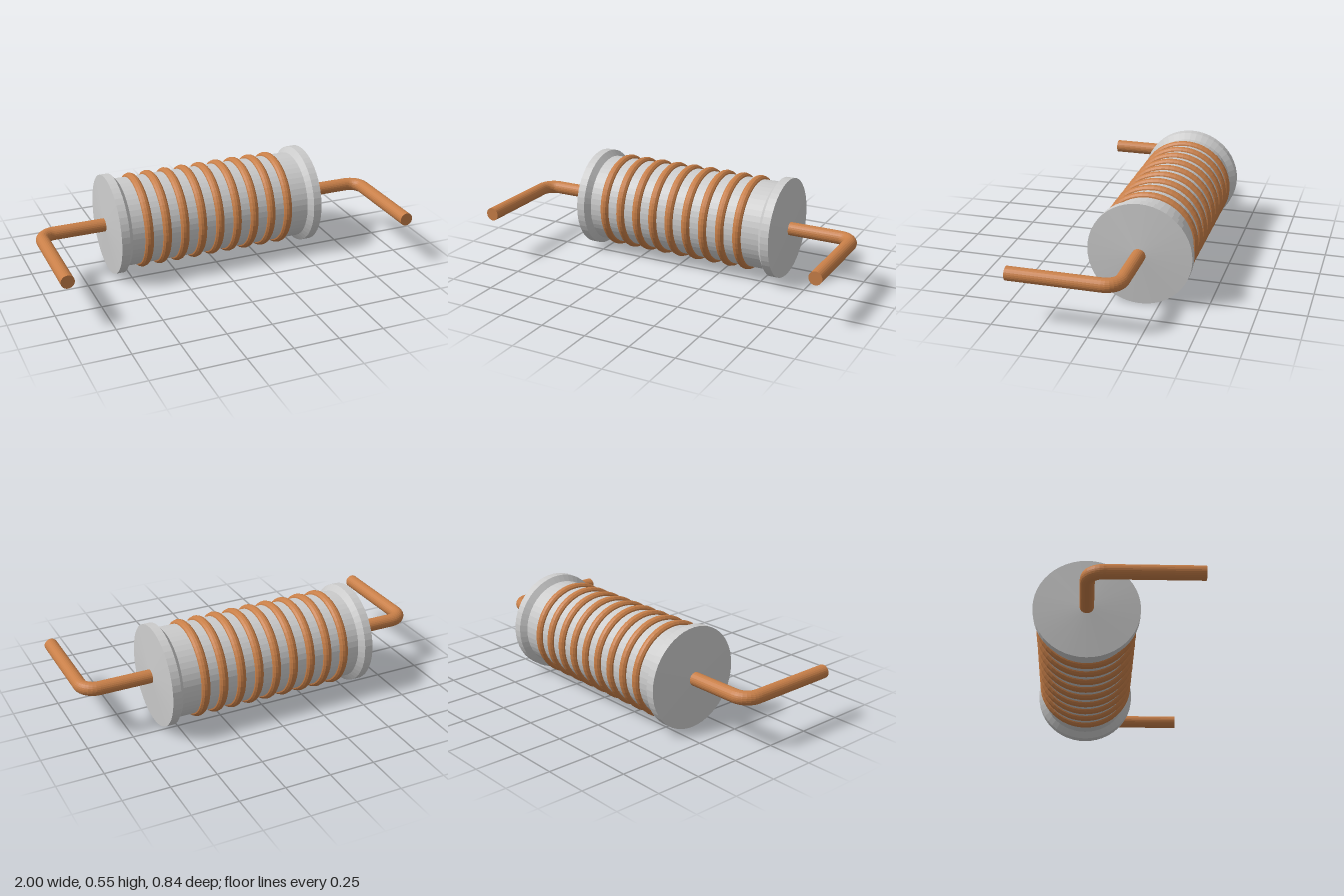
import * as THREE from 'three';
import { mergeGeometries } from 'three/addons/utils/BufferGeometryUtils.js';

const AXIS_Y = 0.275, AXIS_Z = -0.147;
const WIRE = 0.0365, LEAD_X = 1 - WIRE, FRONT_Z = 0.421, BEND = 0.078;

export function createModel() {
  const group = new THREE.Group();
  const grey = new THREE.MeshStandardMaterial({ color: 0xcccccc, flatShading: true });
  const copper = new THREE.MeshStandardMaterial({ color: 0xc87f48, flatShading: true });

  const add = (name, geometry, material) => {
    const mesh = new THREE.Mesh(geometry, material);
    mesh.name = name;
    group.add(mesh);
    return mesh;
  };

  // Core with bevelled end flanges and slightly domed end faces
  const half = [[0.243, 0.517], [0.275, 0.542], [0.275, 0.588], [0, 0.604]];
  const profile = [
    ...half.map(([r, x]) => new THREE.Vector2(r, -x)).reverse(),
    ...half.map(([r, x]) => new THREE.Vector2(r, x)),
  ];
  const core = new THREE.LatheGeometry(profile, 48);
  core.rotateZ(-Math.PI / 2);
  add('core', core, grey).position.set(0, AXIS_Y, AXIS_Z);

  // Separate winding turns
  const turn = new THREE.TorusGeometry(0.237, 0.026, 12, 48);
  turn.rotateY(Math.PI / 2);
  for (let i = 0; i < 9; i++) {
    add(`windingTurn${i + 1}`, turn, copper).position.set(-0.425 + i * 0.1023, AXIS_Y, AXIS_Z);
  }

  // Leads: out along the axis, round a bend, then forward
  for (const [name, s] of [['leftLead', 1], ['rightLead', -1]]) {
    const startX = 0.56, bendX = LEAD_X - BEND, bendZ = AXIS_Z + BEND;

    const axial = new THREE.CylinderGeometry(WIRE, WIRE, bendX - startX, 24);
    axial.rotateZ(Math.PI / 2);
    axial.translate(s * (startX + bendX) / 2, AXIS_Y, AXIS_Z);

    const bend = new THREE.TorusGeometry(BEND, WIRE, 24, 8, Math.PI / 2);
    bend.rotateX(-Math.PI / 2);
    if (s < 0) bend.rotateY(Math.PI / 2);
    bend.translate(s * bendX, AXIS_Y, bendZ);

    const forward = new THREE.CylinderGeometry(WIRE, WIRE, FRONT_Z - bendZ, 24);
    forward.rotateX(Math.PI / 2);
    forward.translate(s * LEAD_X, AXIS_Y, (FRONT_Z + bendZ) / 2);

    add(name, mergeGeometries([axial, bend, forward]), copper);
  }
  return group;
}
